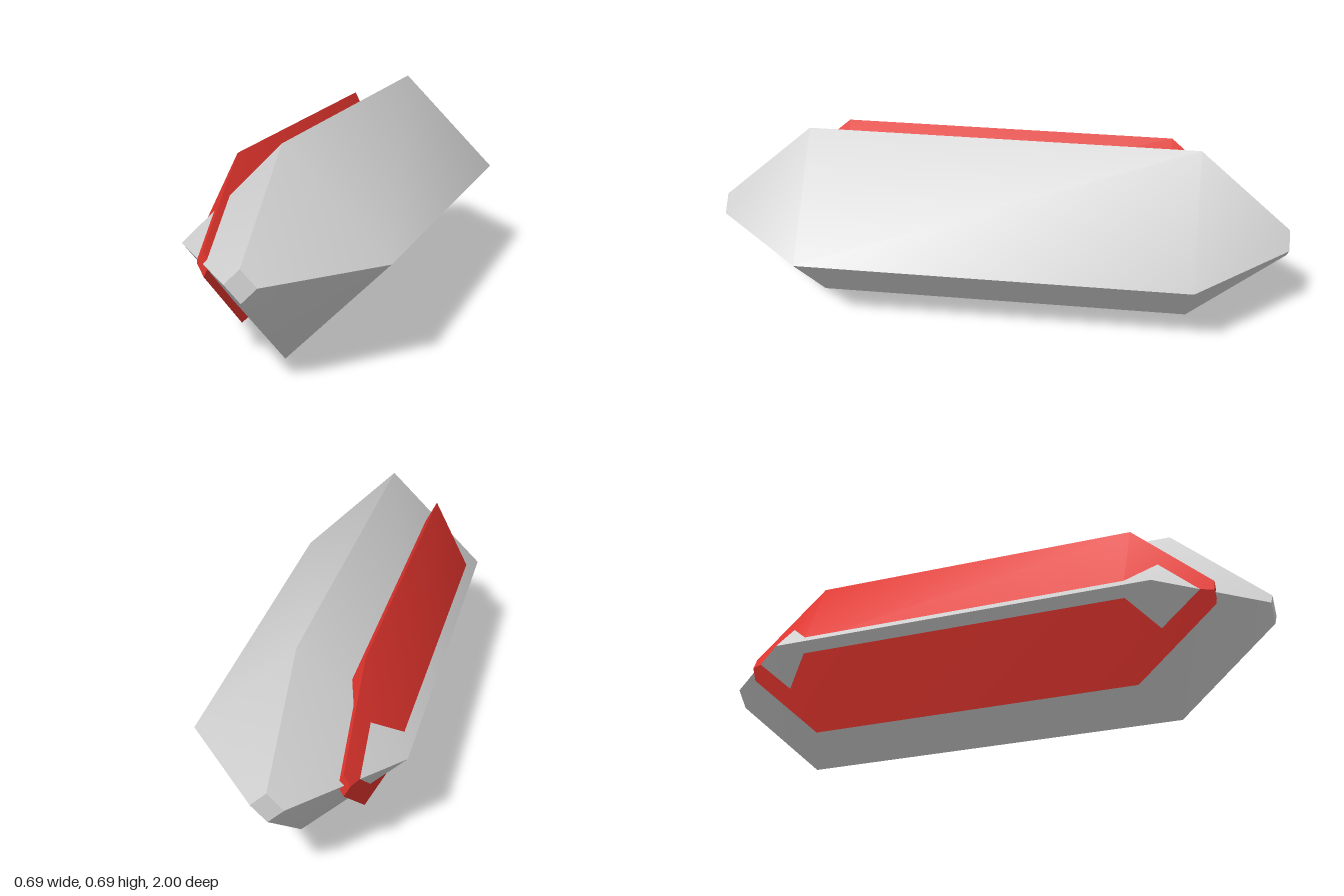
import * as THREE from 'three';
import { toCreasedNormals } from 'three/addons/utils/BufferGeometryUtils.js';

const CENTER_Y = 0.344;

// Four-sided bar along z with tapered, blunt ends; widthRatio squeezes it in x
function crystalBar(name, material, { radius, tipRadius, straight, length, widthRatio }) {
  const profile = [
    [0, -length], [tipRadius, -length], [radius, -straight],
    [radius, straight], [tipRadius, length], [0, length],
  ].map(([r, y]) => new THREE.Vector2(r, y));
  const geometry = new THREE.LatheGeometry(profile, 4);
  geometry.rotateX(Math.PI / 2);
  geometry.scale(widthRatio, 1, 1);
  const mesh = new THREE.Mesh(toCreasedNormals(geometry, 0.7), material);
  mesh.name = name;
  return mesh;
}

export function createModel() {
  const group = new THREE.Group();
  group.name = 'crystalBars';

  const grey = new THREE.MeshStandardMaterial({ color: 0xd1d1d1 });
  grey.name = 'lightGrey';
  const red = new THREE.MeshStandardMaterial({ color: 0xe5352e });
  red.name = 'red';

  // Large square bar
  const body = crystalBar('body', grey, {
    radius: 0.344, tipRadius: 0.052, straight: 0.672, length: 1, widthRatio: 1,
  });
  body.position.y = CENTER_Y;

  // Narrow red bar pushed through the right side of the body
  const insert = crystalBar('sideInsert', red, {
    radius: 0.281, tipRadius: 0.041, straight: 0.577, length: 0.845, widthRatio: 0.5,
  });
  insert.position.set(-0.188, CENTER_Y, 0);

  group.add(body, insert);
  return group;
}
